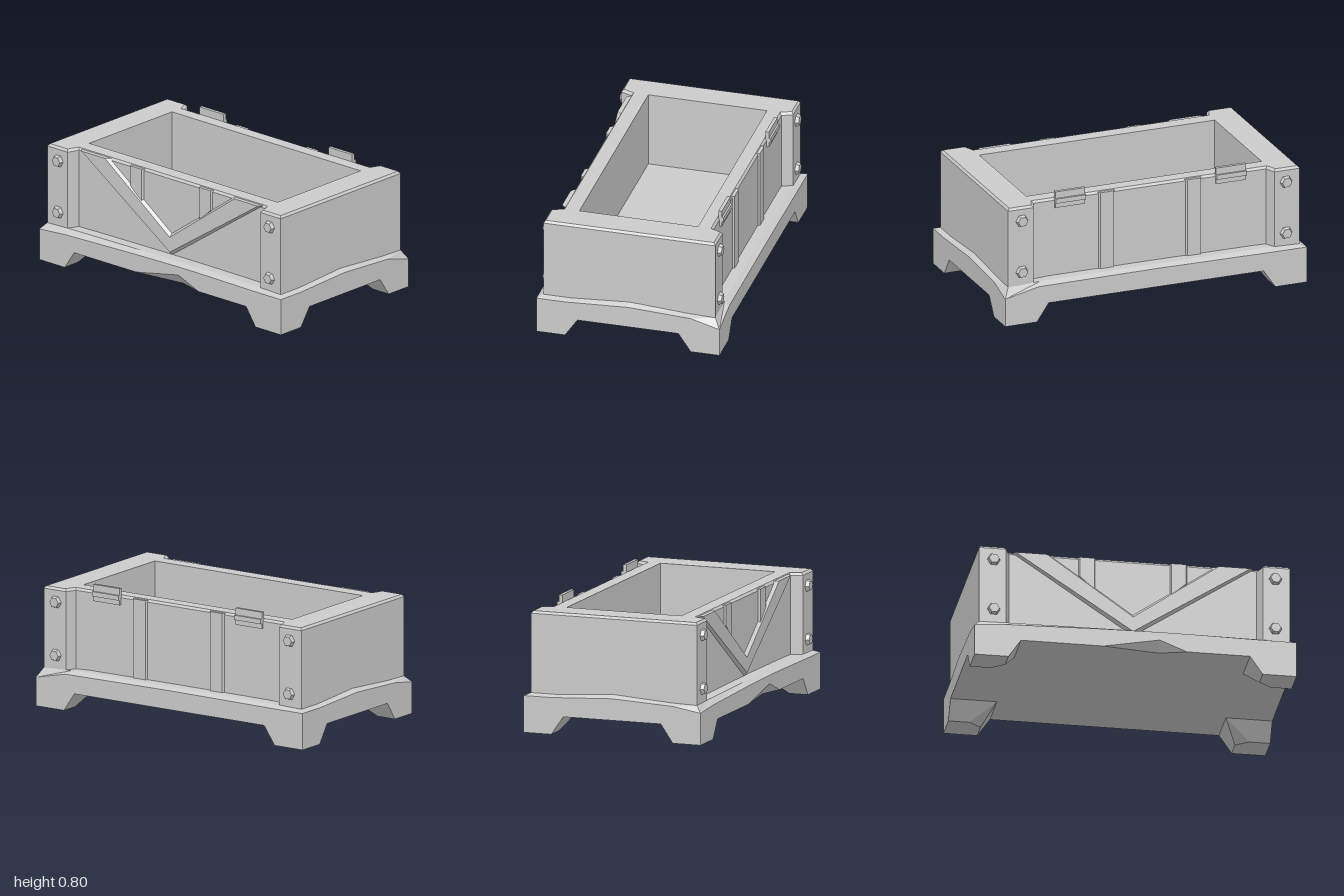
import * as THREE from 'three';

const material = new THREE.MeshStandardMaterial({ color: 0xcccccc, flatShading: true });

// Skin between equal-length rings of [x, y, z] (counter-clockwise about the growth direction), capped by fans
function loft(rings, capStart = true, capEnd = true) {
  const pos = [];
  const n = rings[0].length;
  const tri = (a, b, c) => pos.push(...a, ...b, ...c);
  const middle = ring => [0, 1, 2].map(k => ring.reduce((s, p) => s + p[k], 0) / n);
  for (let i = 0; i < rings.length - 1; i++) {
    for (let j = 0; j < n; j++) {
      const k = (j + 1) % n, a = rings[i], b = rings[i + 1];
      tri(a[j], a[k], b[k]);
      tri(a[j], b[k], b[j]);
    }
  }
  const first = rings[0], last = rings[rings.length - 1];
  for (let j = 0; j < n; j++) {
    const k = (j + 1) % n;
    if (capStart) tri(first[k], first[j], middle(first));
    if (capEnd) tri(last[j], last[k], middle(last));
  }
  const geo = new THREE.BufferGeometry();
  geo.setAttribute('position', new THREE.Float32BufferAttribute(pos, 3));
  geo.computeVertexNormals();
  return geo;
}

export function createModel() {
  const model = new THREE.Group();
  const add = (name, geo, x = 0, y = 0, z = 0) => {
    const mesh = new THREE.Mesh(geo, material);
    mesh.name = name;
    mesh.position.set(x, y, z);
    model.add(mesh);
    return mesh;
  };

  // Plinth: [x, z, edge height, ledge height], with chipped corners and a chipped front lower edge
  const H = 0.115, W = 0.583;
  const plan = [
    [-1, W, 0.2, 0.24], [-0.78, W, 0.215, 0.245], [-0.2, W, 0.23, 0.25], [0.15, W, 0.235, 0.252],
    [0.32, W, 0.235, 0.252], [0.78, W, 0.23, 0.25], [1, W, 0.23, 0.245],
    [1, 0.4, 0.23, 0.245], [1, 0, 0.25, 0.27], [1, -0.4, 0.23, 0.245], [1, -W, 0.18, 0.24],
    [0.78, -W, 0.23, 0.25], [0, -W, 0.235, 0.252], [-0.78, -W, 0.23, 0.25], [-1, -W, 0.23, 0.245],
    [-1, -0.4, 0.23, 0.245], [-1, 0, 0.25, 0.27], [-1, 0.4, 0.23, 0.245],
  ];
  const chip = 3;
  add('plinth', loft([
    plan.map(([x, z], i) => [x, H, i === chip ? 0.535 : z]),
    plan.map(([x, z], i) => [x, i === chip ? 0.182 : H, z]),
    plan.map(([x, z, y]) => [x, y, z]),
    plan.map(([x, z, , y]) => [x * 0.966, y, z * 0.938]),
  ]));

  // Feet: tapered blocks with a cut inner corner
  const footTop = [[1, W], [1, 0.32], [0.71, 0.32], [0.71, 0.32], [0.71, W]];
  const footBottom = [[1, W], [1, 0.4], [0.87, 0.4], [0.79, 0.46], [0.79, W]];
  for (const sx of [-1, 1]) for (const sz of [-1, 1]) {
    const place = (points, y) => {
      const ring = points.map(([x, z]) => [x * sx, y, z * sz]);
      return sx * sz > 0 ? ring : ring.reverse();
    };
    add('foot', loft([place(footBottom, 0), place(footTop, H + 0.002)]));
  }

  // Box body: four corner posts with recessed front and back panels, inset by d at the chamfered rim
  const outline = d => {
    const X = 0.966 - d, Z = 0.547 - d, F = 0.475 - d, B = 0.48 - d, p = 0.798 + d, q = 0.77 + d;
    return [
      [-X, Z], [-p, Z], [-q, F], [q, F], [p, Z], [X, Z],
      [X, -Z], [p, -Z], [q, -B], [-q, -B], [-p, -Z], [-X, -Z],
    ];
  };
  const top = 0.755;
  const ringAt = (points, y) => points.map(([x, z]) => [x, y, z]);
  add('bodyWalls', loft([
    ringAt(outline(0), 0.2), ringAt(outline(0), top - 0.015), ringAt(outline(0.012), top),
  ], false, false));

  // Flat rim with the rectangular opening, and the inner walls and floor
  const opening = [[-0.78, 0.37], [0.78, 0.37], [0.78, -0.385], [-0.78, -0.385]];
  const flat = points => points.map(([x, z]) => new THREE.Vector2(x, -z));
  const rimShape = new THREE.Shape(flat(outline(0.012)));
  rimShape.holes.push(new THREE.Path(flat(opening)));
  add('rim', new THREE.ShapeGeometry(rimShape).rotateX(-Math.PI / 2), 0, top, 0);
  const inside = [...opening].reverse();
  add('inside', loft([ringAt(inside, 0.275), ringAt(inside, top)], false, false));
  add('floor', new THREE.PlaneGeometry(1.56, 0.755).rotateX(-Math.PI / 2), 0, 0.275, -0.0075);

  // Raised chevron on the front, one bevelled arm per side
  const armBack = [[-0.75, 0.75], [0, 0.246], [0, 0.39], [-0.51, 0.75]];
  const armFront = [[-0.73, 0.75], [0, 0.27], [0, 0.367], [-0.535, 0.75]];
  for (const s of [-1, 1]) {
    const place = (points, z) => {
      const ring = points.map(([x, y]) => [-x * s, y, z]);
      return s < 0 ? ring : ring.reverse();
    };
    add('chevronArm', loft([place(armBack, 0.45), place(armBack, 0.472), place(armFront, 0.495)]));
  }

  // Vertical battens: short above the chevron in front, full height behind
  const batten = (x, y0a, y0b, depth) => {
    const ring = (e, z) => [[x - 0.055 + e, y0a], [x + 0.055 - e, y0b], [x + 0.055 - e, 0.75], [x - 0.055 + e, 0.75]]
      .map(([px, py]) => [px, py, z]);
    return loft([ring(0, 0.45), ring(0, depth - 0.018), ring(0.01, depth)]);
  };
  for (const s of [-1, 1]) {
    const inner = 0.54, outer = 0.62;
    add('frontBatten', batten(s * 0.285, s < 0 ? outer : inner, s < 0 ? inner : outer, 0.488));
    add('backBatten', batten(s * 0.288, 0.22, 0.22, 0.493).rotateY(Math.PI));
  }

  // Hinge plates standing up from the back edge
  for (const s of [-1, 1]) {
    add('hingePlate', new THREE.BoxGeometry(0.198, 0.105, 0.022), s * 0.533, 0.7475, -0.484);
    add('hingeLip', new THREE.BoxGeometry(0.198, 0.03, 0.02), s * 0.533, 0.742, -0.497);
  }

  // Hexagonal bolts on the post faces
  const bolt = new THREE.CylinderGeometry(0.032, 0.041, 0.024, 6).rotateY(Math.PI / 6).rotateX(Math.PI / 2);
  for (const sx of [-1, 1]) for (const sz of [-1, 1]) for (const y of [0.33, 0.665]) {
    add('bolt', bolt, sx * 0.875, y, sz * 0.558).rotation.y = sz > 0 ? 0 : Math.PI;
  }

  return model;
}
